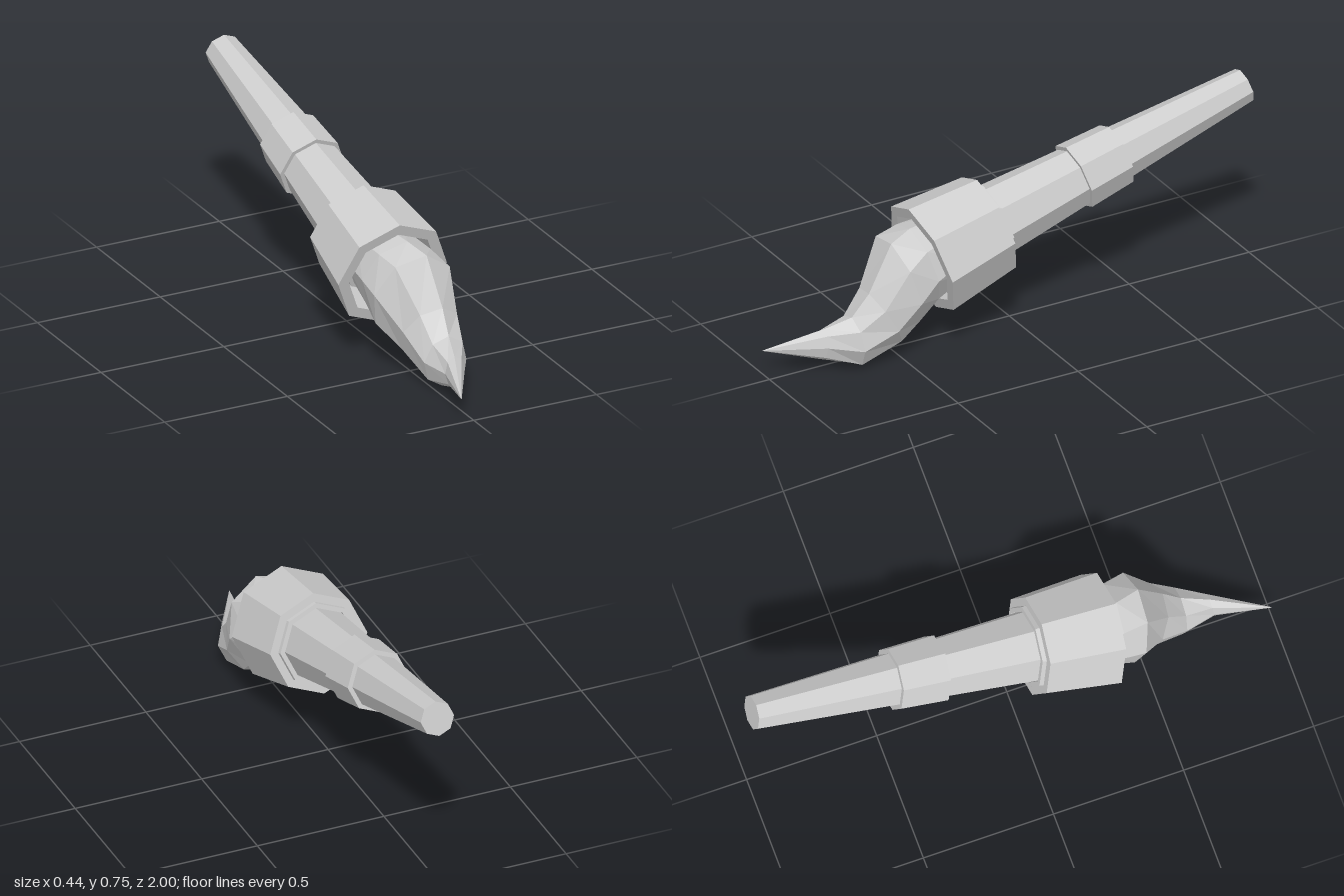
import * as THREE from 'three';

const SIDES = 8;
const mat = () => new THREE.MeshStandardMaterial({ color: 0xcccccc, flatShading: true });

// Octagonal turned part from [radius, height] points
function turned(name, pts) {
  const geo = new THREE.LatheGeometry(pts.map(([r, y]) => new THREE.Vector2(r, y)), SIDES);
  const mesh = new THREE.Mesh(geo, mat());
  mesh.name = name;
  return mesh;
}

// Skin through rings [centre x, half width, top z, top y, bottom z, bottom y, roll]
function loft(rings) {
  const pos = [], idx = [];
  for (const [cx, rx, tz, ty, bz, by, roll] of rings) {
    for (let i = 0; i < SIDES; i++) {
      const a = (i / SIDES) * Math.PI * 2 + roll;
      const s = Math.sin(a), c = Math.cos(a);
      pos.push(cx + rx * s, (ty + by) / 2 + c * (ty - by) / 2, (tz + bz) / 2 + c * (tz - bz) / 2);
    }
  }
  for (let j = 0; j < rings.length - 1; j++) {
    for (let i = 0; i < SIDES; i++) {
      const a = j * SIDES + i, b = j * SIDES + (i + 1) % SIDES;
      idx.push(a, a + SIDES, b, b, a + SIDES, b + SIDES);
    }
  }
  const geo = new THREE.BufferGeometry();
  geo.setAttribute('position', new THREE.Float32BufferAttribute(pos, 3));
  geo.setIndex(idx);
  geo.computeVertexNormals();
  return geo;
}

export function createModel() {
  const model = new THREE.Group();
  model.name = 'paintBrush';

  // Straight parts share one axis, tilted up towards the back
  const shaft = new THREE.Group();
  shaft.name = 'shaft';
  shaft.position.set(0, 0.33, 0.3625);
  shaft.rotation.x = -THREE.MathUtils.degToRad(75);
  model.add(shaft);

  // Tapered handle with closed ends
  shaft.add(turned('handle', [[0, 0.1], [0.15, 0.1], [0.066, 1.39], [0, 1.39]]));

  // Hollow ferrule with a small collar standing out at the back
  shaft.add(turned('ferrule', [
    [0.178, 0], [0.221, 0], [0.192, 0.288], [0.16, 0.288],
    [0.158, 0.304], [0.14, 0.304], [0.14, 0.27], [0.155, 0.25], [0.178, 0],
  ]));

  // Raised band around the handle
  shaft.add(turned('handleBand', [
    [0.105, 0.655], [0.13, 0.655], [0.12, 0.839], [0.095, 0.839],
  ]));

  // Bent bristle tuft narrowing to a sideways point
  const bristles = new THREE.Mesh(loft([
    [0, 0.13, 0.27, 0.49, 0.2, 0.24, 0],
    [0.01, 0.15, 0.43, 0.48, 0.345, 0.175, 0.1],
    [0.022, 0.165, 0.525, 0.458, 0.43, 0.115, 0.2],
    [0.045, 0.115, 0.625, 0.285, 0.5, 0.06, 0.2],
    [0.05, 0.087, 0.69, 0.2, 0.67, 0.0, 0.1],
    [0.03, 0.04, 0.79, 0.165, 0.8, 0.045, 0],
    [-0.05, 0.001, 1.0, 0.096, 1.0, 0.094, 0],
  ]), mat());
  bristles.name = 'bristles';
  model.add(bristles);

  return model;
}
